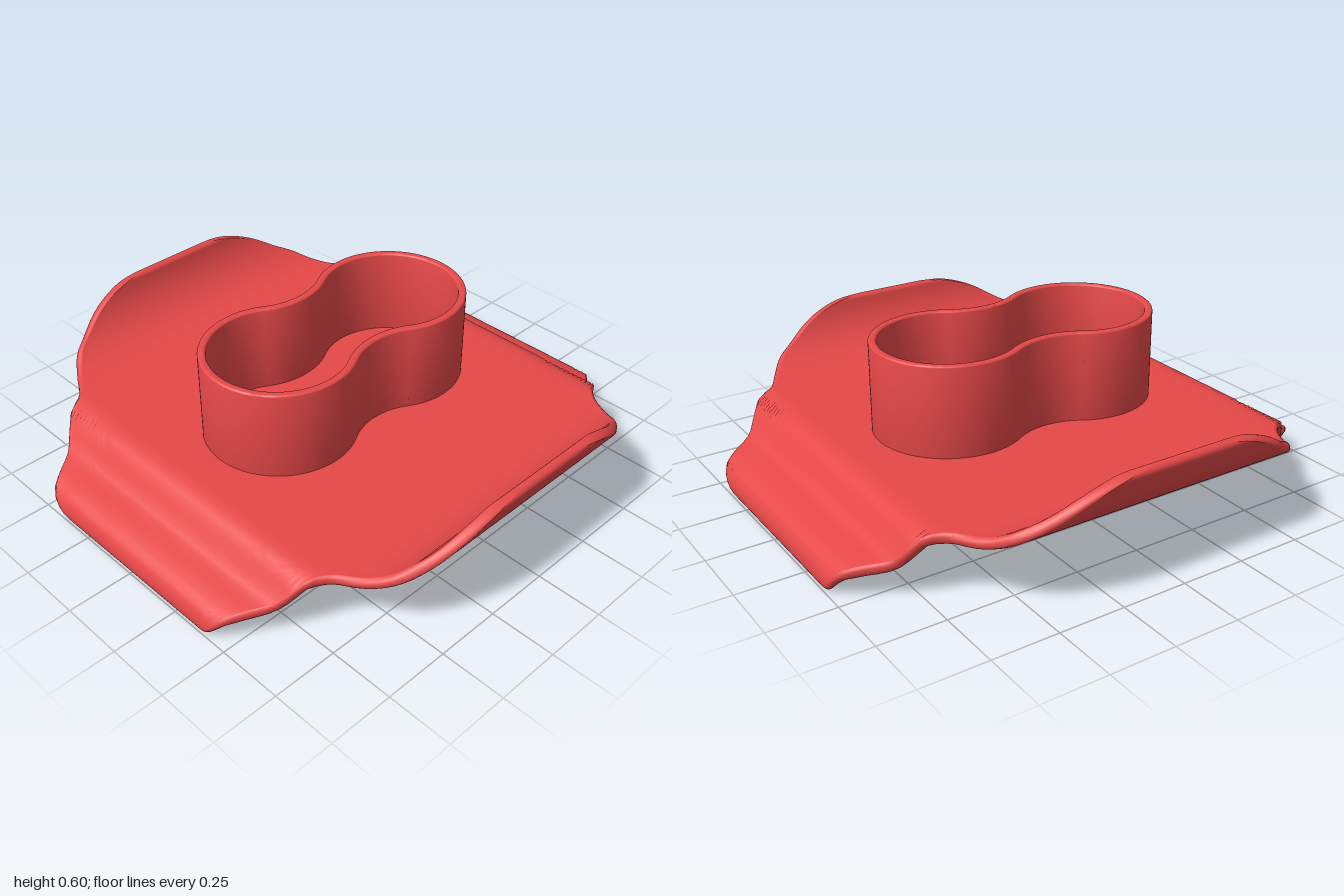
import * as THREE from 'three';
import { toCreasedNormals } from 'three/addons/utils/BufferGeometryUtils.js';

const HALF = 0.02; // half thickness of the sheet
const BASE = 0.24; // height of the sheet's middle plane
const material = new THREE.MeshStandardMaterial({ color: 0xe64848 });

const curveOf = (points) =>
  new THREE.CatmullRomCurve3(points.map(([x, y]) => new THREE.Vector3(x, y, 0)));

// Side lips step down and hook under; measured along the sheet from FLAT outward.
const FLAT = 0.6;
const lip = curveOf([
  [FLAT, 0.24], [0.7, 0.24], [0.752, 0.23], [0.786, 0.185], [0.83, 0.132],
  [0.925, 0.104], [0.965, 0.085], [0.98, 0.05], [0.976, 0.003],
]);
const U_MAX = FLAT + lip.getLength();

function acrossProfile(u) {
  const a = Math.abs(u), s = Math.sign(u);
  if (a <= FLAT) return { p: u, y: 0, dp: 1, dy: 0 };
  const t = Math.min(1, (a - FLAT) / (U_MAX - FLAT));
  const point = lip.getPointAt(t), tangent = lip.getTangentAt(t);
  return { p: s * point.x, y: point.y - BASE, dp: tangent.x, dy: s * tangent.y };
}

// Front and back flaps curl up along a circular arc.
const ARC_START = 0.71, ARC_R = 0.26, V_MAX = 1.08;
function alongProfile(v) {
  const a = Math.abs(v), s = Math.sign(v);
  if (a <= ARC_START) return { p: v, y: 0, dp: 1, dy: 0 };
  const t = (a - ARC_START) / ARC_R;
  return {
    p: s * (ARC_START + ARC_R * Math.sin(t)), y: ARC_R * (1 - Math.cos(t)),
    dp: Math.cos(t), dy: s * Math.sin(t),
  };
}

// Half width of the unrolled sheet at each distance v from the middle.
const outline = curveOf([
  [0, 1.13], [0.36, 1.13], [0.41, 1.095], [0.455, 1.05], [0.49, 1.005], [0.53, 0.945],
  [0.595, 0.85], [0.64, 0.765], [0.685, 0.7], [0.787, 0.636], [0.877, 0.575], [0.93, 0.51],
  [1.0, 0.42], [1.04, 0.345], [1.068, 0.26], [V_MAX, 0.15],
]).getPoints(300);
function halfWidth(v) {
  const a = Math.abs(v);
  const i = Math.max(1, outline.findIndex((q) => q.x >= a - 1e-6));
  const p = outline[i - 1], q = outline[i];
  const t = THREE.MathUtils.clamp((a - p.x) / (q.x - p.x), 0, 1);
  return Math.min(U_MAX, p.y + (q.y - p.y) * t);
}

// One closed loop per row: top, rounded rim, underside, rounded rim.
function sheetGeometry() {
  const rows = 140, cols = 90, rim = 6;
  const pos = [], index = [];
  let n = 0;
  for (let j = 0; j <= rows; j++) {
    const v = V_MAX * Math.sin((Math.PI / 2) * ((2 * j) / rows - 1));
    const over = Math.min(1, Math.max(0, Math.abs(v) - V_MAX + HALF) / HALF);
    const h = HALF * Math.sqrt(1 - over * over);
    const inner = halfWidth(v) - HALF;
    const loop = [];
    for (const side of [1, -1]) {
      for (let i = 0; i <= cols; i++) {
        loop.push([side * inner * Math.sin((Math.PI / 2) * ((2 * i) / cols - 1)), side * h]);
      }
      for (let k = 1; k < rim; k++) {
        const a = (Math.PI * k) / rim;
        loop.push([side * (inner + HALF * Math.sin(a)), side * h * Math.cos(a)]);
      }
    }
    n = loop.length;
    const Z = alongProfile(v);
    for (const [u, offset] of loop) {
      const X = acrossProfile(u);
      const normal = new THREE.Vector3(-Z.dp * X.dy, Z.dp * X.dp, -Z.dy * X.dp).normalize();
      pos.push(X.p + normal.x * offset, BASE + X.y + Z.y + normal.y * offset, Z.p + normal.z * offset);
    }
  }
  for (let j = 0; j < rows; j++) {
    for (let i = 0; i < n; i++) {
      const a = j * n + i, b = j * n + ((i + 1) % n);
      index.push(a, a + n, b, b, a + n, b + n);
    }
  }
  const geometry = new THREE.BufferGeometry();
  geometry.setAttribute('position', new THREE.Float32BufferAttribute(pos, 3));
  geometry.setIndex(index);
  geometry.computeVertexNormals();
  return geometry;
}

// Two round lobes joined by concave waist arcs; inset moves the line inward.
function lobedPath(PathType, inset) {
  const c = 0.285, R = 0.263, zc = 0.468;
  const tangent = Math.atan2(zc, -c);
  const r = c - inset, w = R + inset;
  const path = new PathType();
  path.absarc(c, 0, r, -tangent, tangent, false);
  path.absarc(0, zc, w, tangent - Math.PI, -tangent, true);
  path.absarc(-c, 0, r, Math.PI - tangent, Math.PI + tangent, false);
  path.absarc(0, -zc, w, tangent, Math.PI - tangent, true);
  path.closePath();
  return path;
}

function lobedWall(bottom, top, outerInset, innerInset, bevel) {
  const shape = lobedPath(THREE.Shape, outerInset);
  shape.holes.push(lobedPath(THREE.Path, innerInset));
  const geometry = new THREE.ExtrudeGeometry(shape, {
    depth: top - bottom - 2 * bevel, curveSegments: 32,
    bevelSize: bevel, bevelThickness: bevel, bevelOffset: -bevel, bevelSegments: 3,
  });
  geometry.rotateX(-Math.PI / 2).translate(0, bottom + bevel, 0);
  return toCreasedNormals(geometry, 0.6);
}

// Fluted cone pointing down: alternate base corners are pulled inward.
function spikeGeometry() {
  const geometry = new THREE.ConeGeometry(0.042, 0.09, 16, 1).toNonIndexed();
  const p = geometry.attributes.position;
  for (let i = 0; i < p.count; i++) {
    const x = p.getX(i), z = p.getZ(i);
    const corner = Math.round(Math.atan2(z, x) / (Math.PI / 8));
    if (corner % 2 !== 0) p.setXYZ(i, x * 0.72, p.getY(i), z * 0.72);
  }
  geometry.rotateX(Math.PI);
  geometry.computeVertexNormals();
  return geometry;
}

export function createModel() {
  const model = new THREE.Group();
  const add = (name, geometry, parent = model, mat = material) => {
    const mesh = new THREE.Mesh(geometry, mat);
    mesh.name = name;
    parent.add(mesh);
    return mesh;
  };

  add('curvedPlate', sheetGeometry());
  add('lobedCollar', lobedWall(0.245, 0.605, 0, 0.03, 0.007));

  // Square grid of gripping spikes on the underside
  const spikes = new THREE.Group();
  spikes.name = 'spikes';
  model.add(spikes);
  const spike = spikeGeometry();
  const spikeMaterial = material.clone();
  spikeMaterial.flatShading = true;
  for (let i = -3; i <= 3; i++) {
    for (let j = -3; j <= 3; j++) {
      add('spike', spike, spikes, spikeMaterial).position.set(i * 0.19, 0.183, j * 0.19);
    }
  }
  return model;
}
